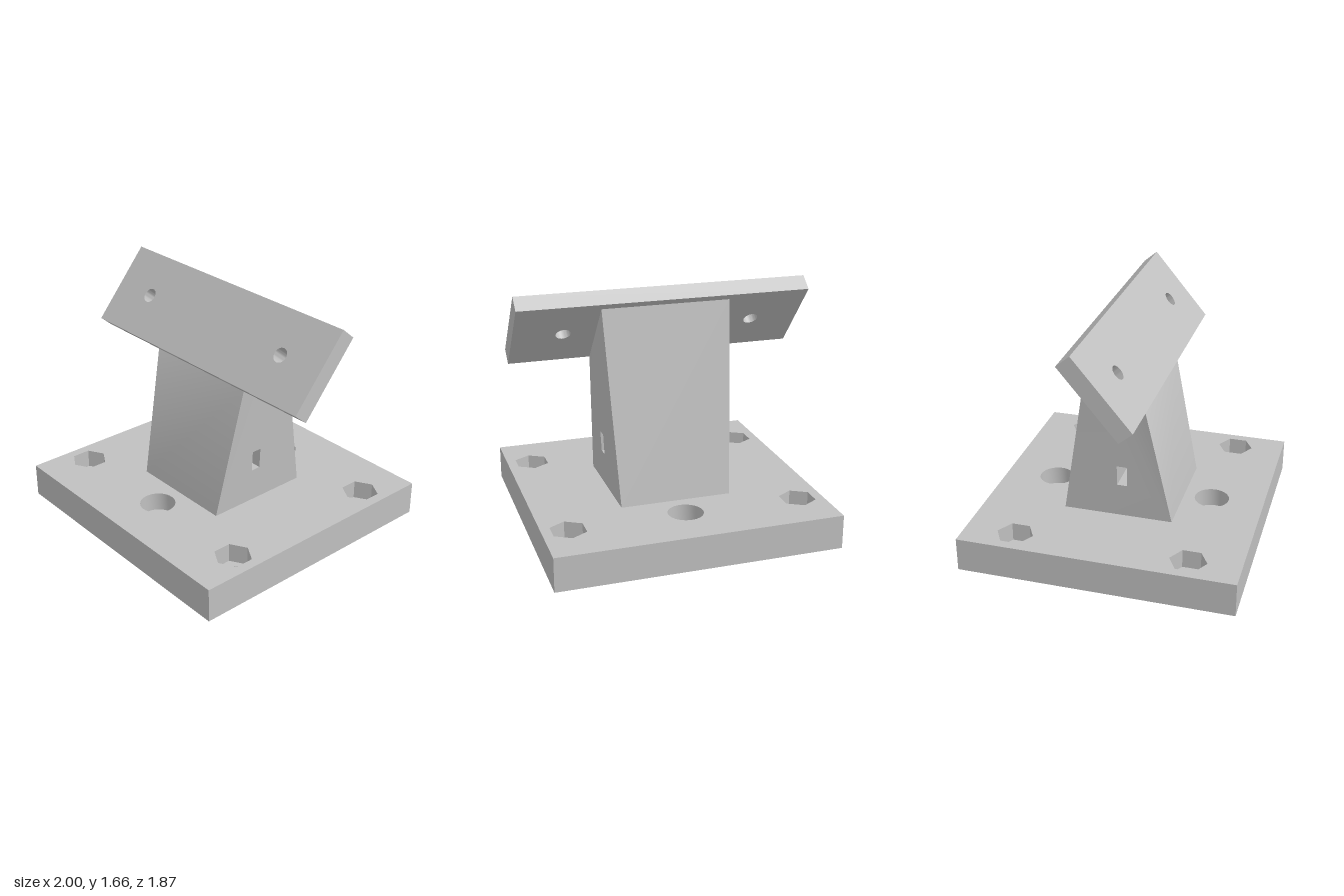
import * as THREE from 'three';
import { toCreasedNormals } from 'three/addons/utils/BufferGeometryUtils.js';

const steel = new THREE.MeshStandardMaterial({ color: 0xc0c0c0 });
steel.name = 'light grey';

const BASE_TOP = 0.235;
const POCKET_FLOOR = 0.105;
const TILT = THREE.MathUtils.degToRad(40);

function polygon(points) {
  return points.map(([x, y]) => new THREE.Vector2(x, y));
}

function rectangle(halfW, halfH) {
  return new THREE.Shape(polygon([[-halfW, -halfH], [halfW, -halfH], [halfW, halfH], [-halfW, halfH]]));
}

// Regular hole outline whose first corner points along +y
function hole(x, y, radius, sides = 40) {
  const points = [];
  for (let i = 0; i < sides; i++) {
    const a = (i / sides) * Math.PI * 2;
    points.push([x + Math.sin(a) * radius, y + Math.cos(a) * radius]);
  }
  return new THREE.Path(polygon(points));
}

function extrude(shape, depth) {
  return new THREE.ExtrudeGeometry(shape, { depth, bevelEnabled: false });
}

function part(name, geometry) {
  const mesh = new THREE.Mesh(toCreasedNormals(geometry, 0.5), steel);
  mesh.name = name;
  return mesh;
}

// Base: a lower layer with bolt holes, an upper layer with hex and round pockets
function baseLayer(name, y0, y1, hexRadius, hexSides, roundRadius) {
  const shape = rectangle(0.97, 0.937);
  for (const sz of [-1, 1]) {
    shape.holes.push(hole(0, sz * 0.573, roundRadius));
    for (const sx of [-1, 1]) shape.holes.push(hole(sx * 0.795, sz * 0.588, hexRadius, hexSides));
  }
  const geometry = extrude(shape, y1 - y0).rotateX(-Math.PI / 2).translate(0, y0, 0);
  return part(name, geometry);
}

// Pillar: side profile with a slot, widening towards its slanted top
function pillar() {
  const shape = new THREE.Shape(polygon([[0.377, BASE_TOP], [0.19, 1.13], [-0.16, 1.545], [-0.377, BASE_TOP]]));
  shape.holes.push(new THREE.Path(polygon([[0, 0.475], [0.07, 0.475], [0.07, 0.62], [0, 0.62]])));
  const geometry = extrude(shape, 2).translate(0, 0, -1).rotateY(-Math.PI / 2);
  const pos = geometry.attributes.position;
  for (let i = 0; i < pos.count; i++) {
    const top = 1.13 + (0.19 - pos.getZ(i)) * 1.186;
    const t = (pos.getY(i) - BASE_TOP) / (top - BASE_TOP);
    pos.setX(i, Math.sign(pos.getX(i)) * THREE.MathUtils.lerp(0.383, 0.44, t));
  }
  return part('pillar', geometry);
}

// Tilted mounting plate with two screw holes
function mountingPlate() {
  const shape = rectangle(1, 0.296);
  for (const sx of [-1, 1]) shape.holes.push(hole(sx * 0.66, 0, 0.05));
  const geometry = extrude(shape, 0.117).translate(0, 0, -0.0585);
  const mesh = part('mountingPlate', geometry);
  mesh.rotation.x = -TILT;
  mesh.position.set(0, 1.391, 0.045);
  return mesh;
}

export function createModel() {
  const model = new THREE.Group();
  model.name = 'mountingBracket';
  const base = new THREE.Group();
  base.name = 'base';
  base.add(
    baseLayer('baseBoltHoles', 0, POCKET_FLOOR, 0.065, 40, 0.065),
    baseLayer('basePockets', POCKET_FLOOR, BASE_TOP, 0.125, 6, 0.12),
  );
  model.add(base, pillar(), mountingPlate());
  return model;
}
